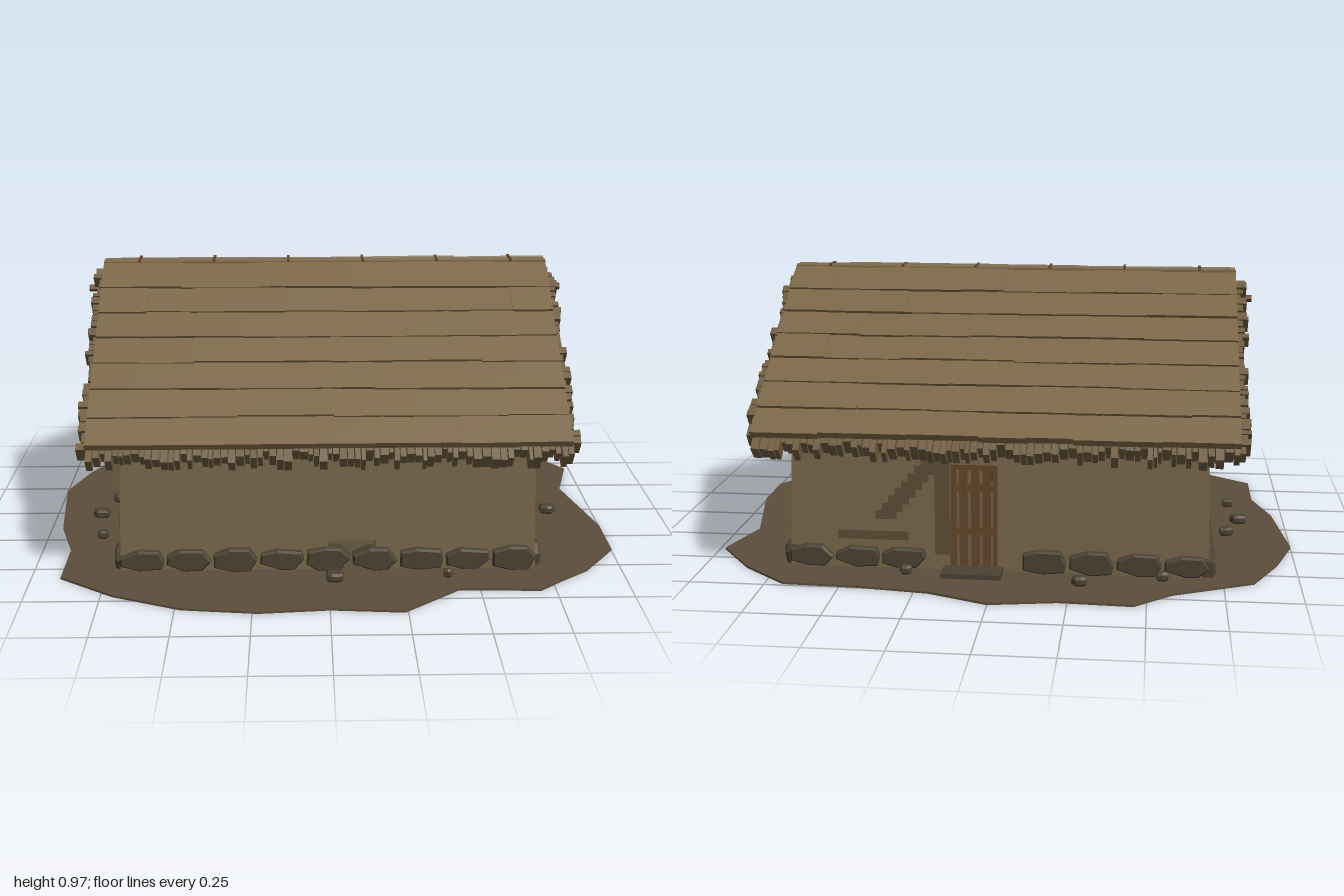
import * as THREE from 'three';

const mat = (name, color) => Object.assign(new THREE.MeshStandardMaterial({ color, flatShading: true }), { name });
const M = {
  thatch: mat('thatch', 0x7b6747), fringe: mat('thatch ends', 0x6c5b3e),
  plaster: mat('clay plaster', 0x78664a), damp: mat('bare clay', 0x5c4e36),
  stone: mat('stone', 0x4b4232), wood: mat('wood', 0x644729), earth: mat('earth', 0x5c4e3a),
};

let seed = 7;
const rnd = (a = 0, b = 1) => {
  seed = (seed * 16807) % 2147483647;
  return a + (b - a) * seed / 2147483647;
};

function add(parent, name, geo, material, x = 0, y = 0, z = 0) {
  const m = new THREE.Mesh(geo, material);
  m.name = name;
  m.position.set(x, y, z);
  parent.add(m);
  return m;
}
const box = (parent, name, material, w, h, d, x, y, z) =>
  add(parent, name, new THREE.BoxGeometry(w, h, d), material, x, y, z);
const poly = pts => new THREE.Shape(pts.map(p => new THREE.Vector2(p[0], p[1])));

// Walls lean inwards slightly as they rise
const leanX = y => 1 - 0.04 * y;
const leanZ = y => 1 - 0.05 * y;
function lean(geo) {
  const p = geo.attributes.position;
  for (let i = 0; i < p.count; i++) {
    const y = p.getY(i);
    p.setX(i, p.getX(i) * leanX(y));
    p.setZ(i, p.getZ(i) * leanZ(y));
  }
  geo.computeVertexNormals();
  return geo;
}
const panel = shape => new THREE.ExtrudeGeometry(shape, { depth: 0.05, bevelEnabled: false });

// Irregular bevelled stone, broad face towards local +z
function stone(parent, w, h, d, x, y, z, turn = 0) {
  const pts = [];
  for (let i = 0; i < 7; i++) {
    const a = (i + rnd(-0.25, 0.25)) / 7 * Math.PI * 2;
    const f = 1 / Math.max(Math.abs(Math.cos(a)), Math.abs(Math.sin(a))) ** 0.7;
    pts.push([Math.cos(a) * f * (w / 2 - 0.006), Math.sin(a) * f * (h / 2 - 0.006)]);
  }
  const geo = new THREE.ExtrudeGeometry(poly(pts),
    { depth: d, bevelThickness: 0.008, bevelSize: 0.006, bevelSegments: 1 });
  geo.translate(0, 0, -d / 2);
  const m = add(parent, 'stone', geo, M.stone, x, y, z);
  m.rotation.y = turn;
  return m;
}

function makeWalls() {
  const g = new THREE.Group();
  g.name = 'walls';
  // Front wall with a gap behind the footing, back wall with the doorway
  const front = poly([[-0.655, 0], [0, 0], [0, 0.11], [0.16, 0.11], [0.16, 0], [0.655, 0], [0.655, 0.5], [-0.655, 0.5]]);
  add(g, 'frontWall', lean(panel(front).translate(0, 0, 0.48)), M.plaster);
  const back = poly([[-0.655, 0], [0, 0], [0, 0.37], [0.16, 0.37], [0.16, 0], [0.655, 0], [0.655, 0.5], [-0.655, 0.5]]);
  add(g, 'backWall', lean(panel(back).translate(0, 0, -0.565)), M.plaster);
  const gable = poly([[-0.565, 0], [0.53, 0], [0.53, 0.5], [-0.02, 0.85], [-0.565, 0.5]]);
  for (const s of [1, -1]) {
    const geo = panel(gable).rotateY(-Math.PI / 2).translate(s > 0 ? 0.705 : -0.655, 0, 0);
    add(g, 'gableWall', lean(geo), M.plaster);
  }
  return g;
}

function makePatches() {
  const g = new THREE.Group();
  g.name = 'bareClayPatches';
  for (const s of [1, -1]) {
    const plate = (z, y, w, h) =>
      box(g, 'gablePatch', M.damp, 0.008, h, w, s * 0.705 * leanX(y), y, z).rotation.z = s * 0.028;
    // Diagonal stepped cracks
    for (let i = 0; i < 8; i++) plate(0.49 - i * 0.029, 0.18 + i * 0.024, 0.06 + rnd(0, 0.025), 0.03);
    for (let i = 0; i < 9; i++) plate(-0.26 - i * 0.03, 0.28 + i * 0.025, 0.055 + rnd(0, 0.035), 0.032);
    for (let i = 0; i < 4; i++) plate(-0.44 - i * 0.025, 0.08 + i * 0.022, 0.08, 0.024);
    // Steps below the sloping edge
    for (let i = 0; i < 13; i++) {
      const t = (i + 0.5) / 13;
      plate(0.47 - t * 0.46, 0.505 + t * 0.305, 0.055, 0.036);
      plate(-0.5 + t * 0.44, 0.505 + t * 0.305, 0.055, 0.036);
    }
  }
  const rear = (x, y, w, h) => box(g, 'backPatch', M.damp, w, h, 0.008, x, y, -0.565 * leanZ(y));
  for (let i = 0; i < 9; i++) rear(0.2 + i * 0.022, 0.4 - i * 0.026, 0.07, 0.03);
  rear(0.185, 0.2, 0.05, 0.36);
  rear(0.42, 0.12, 0.24, 0.03);
  return g;
}

function makeDoor() {
  const g = new THREE.Group();
  g.name = 'door';
  for (const x of [0.008, 0.152]) box(g, 'doorPost', M.wood, 0.016, 0.36, 0.04, x, 0.18, -0.53);
  box(g, 'doorLintel', M.wood, 0.17, 0.02, 0.04, 0.08, 0.36, -0.53);
  for (const x of [0.04, 0.078, 0.118]) box(g, 'doorPlank', M.wood, 0.027, 0.345, 0.012, x, 0.18, -0.525);
  for (const y of [0.13, 0.28]) box(g, 'doorRail', M.wood, 0.13, 0.022, 0.012, 0.08, y, -0.514);
  box(g, 'doorstep', M.stone, 0.2, 0.018, 0.09, 0.08, 0.014, -0.61);
  return g;
}

function makeStones() {
  const g = new THREE.Group();
  g.name = 'stones';
  // Footing rows along each wall
  for (let i = 0; i < 9; i++) {
    const x = -0.63 + i * 0.1575;
    stone(g, 0.15, rnd(0.07, 0.088), 0.04, x, 0.047, 0.525);
    if (Math.abs(x - 0.08) > 0.16) stone(g, 0.15, rnd(0.07, 0.088), 0.04, x, 0.047, -0.56, Math.PI);
  }
  for (const s of [1, -1]) {
    for (const z of [0.49, 0.22, 0.08, -0.06, -0.3, -0.41, -0.52])
      stone(g, z > 0.4 ? 0.08 : rnd(0.11, 0.15), rnd(0.065, 0.085), 0.03, s * 0.7, 0.045, z, s * Math.PI / 2);
  }
  // Loose stones lying on the ground
  for (const [x, z, w] of [[0.02, 0.62, 0.06], [0.4, 0.6, 0.03], [0.77, 0.02, 0.05], [0.83, 0.04, 0.06],
    [-0.83, 0.05, 0.06], [-0.78, -0.1, 0.05], [-0.8, 0.25, 0.04], [-0.28, -0.67, 0.05], [-0.55, -0.6, 0.04], [0.3, -0.62, 0.04]])
    stone(g, w, w * 0.8, 0.015, x, 0.022, z).rotation.x = -Math.PI / 2;
  return g;
}

// One slope: local +z runs down from the ridge
function makeSlope() {
  const g = new THREE.Group();
  g.name = 'roofSlope';
  box(g, 'thatchBed', M.thatch, 1.57, 0.07, 0.78, 0, -0.012, 0.4);
  // Overlapping courses of uneven bundles
  const courses = 7, step = 0.113;
  for (let c = 0; c < courses; c++) {
    let x = -0.785;
    while (x < 0.78) {
      let w = rnd(0.14, 0.34);
      if (0.785 - x - w < 0.1) w = 0.785 - x;
      const m = box(g, 'thatchBundle', M.thatch, w, 0.024, step + 0.025 + rnd(-0.006, 0.008),
        x + w / 2, 0.034 + rnd(-0.002, 0.002), c * step + 0.065);
      m.rotation.x = -0.08 + 0.12;
      m.rotation.x = -0.06;
      x += w;
    }
  }
  // Ragged eave
  for (let x = -0.785; x < 0.78;) {
    const w = rnd(0.014, 0.03), len = rnd(0.07, 0.115);
    const m = box(g, 'eaveFringe', M.fringe, w - 0.003, rnd(0.045, 0.065), len, x + w / 2, -0.015, 0.735 + len / 2);
    m.rotation.x = rnd(0.02, 0.16);
    x += w;
  }
  // Ragged side edges and the rafters beneath
  for (const s of [1, -1]) {
    for (let z = 0.03; z < 0.79;) {
      const d = rnd(0.018, 0.034), w = rnd(0.03, 0.055);
      box(g, 'sideFringe', M.fringe, w, rnd(0.04, 0.06), d - 0.003, s * (0.77 + w / 2), -0.015, z + d / 2);
      z += d;
    }
    box(g, 'rafter', M.wood, 0.022, 0.02, 0.74, s * 0.755, -0.055, 0.41);
  }
  return g;
}

function makeRoof() {
  const g = new THREE.Group();
  g.name = 'roof';
  g.position.set(0, 0.93, -0.025);
  for (const turn of [0, Math.PI]) {
    const side = new THREE.Group();
    side.name = 'roofSide';
    side.rotation.y = turn;
    const slope = makeSlope();
    slope.rotation.x = 0.605;
    side.add(slope);
    g.add(side);
  }
  // Ridge cap, its ties and the ridge pole
  box(g, 'ridgeCap', M.thatch, 1.57, 0.04, 0.07, 0, 0.013, 0);
  for (let i = 0; i < 6; i++) {
    const x = -0.66 + i * 0.264;
    box(g, 'ridgeTie', M.wood, 0.009, 0.008, 0.08, x, 0.036, 0);
  }
  const pole = new THREE.CylinderGeometry(0.013, 0.013, 1.69, 6).rotateZ(Math.PI / 2);
  add(g, 'ridgePole', pole, M.wood, 0, -0.07, 0);
  return g;
}

function makeGround() {
  const outline = [[-0.58, -0.72], [-0.46, -0.83], [-0.22, -0.82], [0, -0.86], [0.2, -0.78], [0.44, -0.75], [0.69, -0.74],
    [0.85, -0.6], [0.98, -0.42], [0.92, -0.2], [1, 0.17], [1, 0.38], [0.88, 0.55], [0.78, 0.63], [0.7, 0.7], [0.43, 0.69],
    [0.24, 0.85], [0, 0.83], [-0.23, 0.85], [-0.48, 0.82], [-0.71, 0.72], [-0.9, 0.58], [-0.9, 0.35], [-0.96, 0.15],
    [-1, -0.21], [-0.94, -0.4], [-0.85, -0.59]];
  const geo = new THREE.ExtrudeGeometry(poly(outline.map(([x, z]) => [x, -z])), { depth: 0.007, bevelEnabled: false });
  const m = new THREE.Mesh(geo.rotateX(-Math.PI / 2), M.earth);
  m.name = 'ground';
  return m;
}

export function createModel() {
  seed = 7;
  const model = new THREE.Group();
  model.name = 'thatchedHut';
  model.add(makeGround(), makeWalls(), makePatches(), makeDoor(), makeStones(), makeRoof());
  return model;
}
